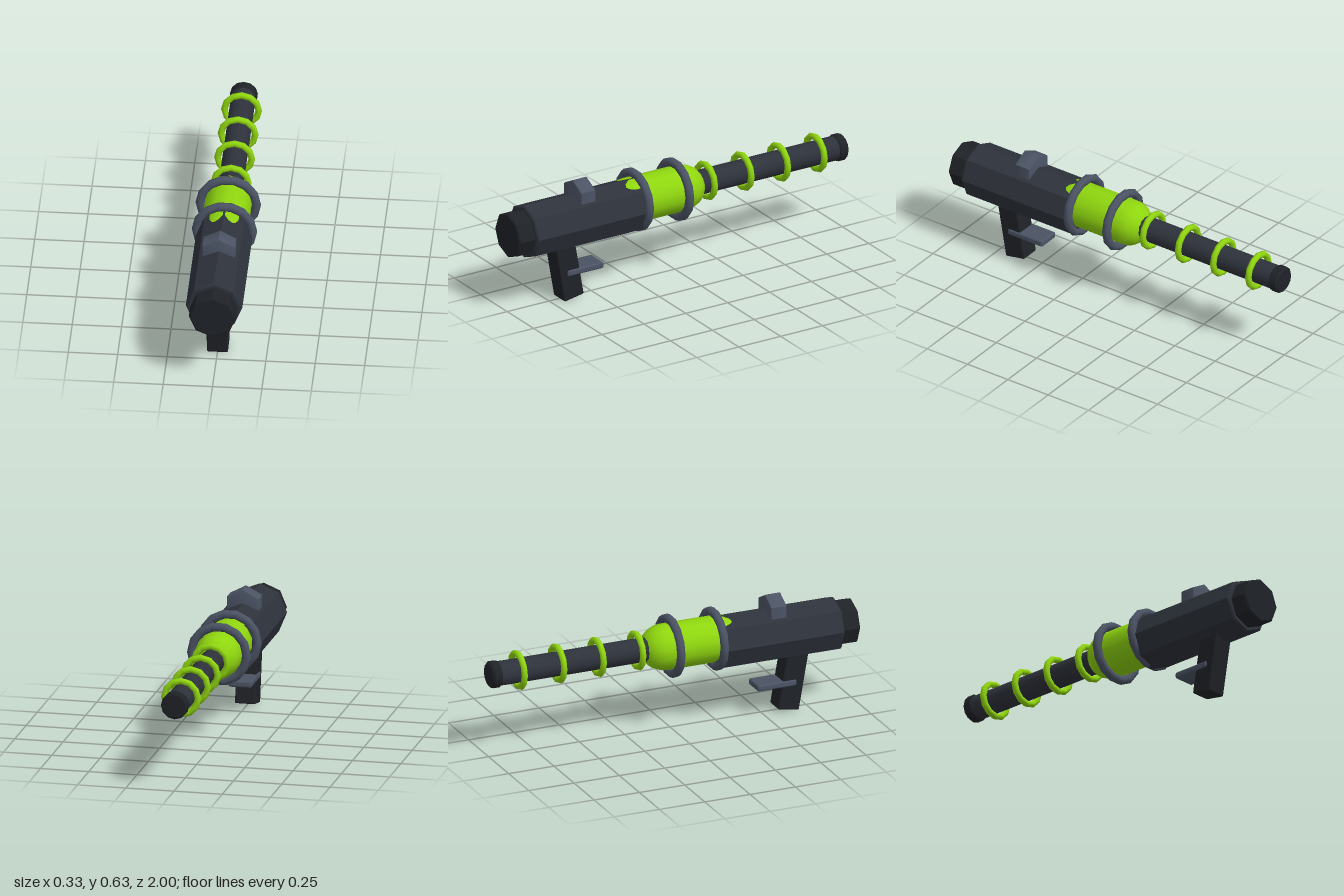
import * as THREE from 'three';
import { toCreasedNormals } from 'three/addons/utils/BufferGeometryUtils.js';
import { RoundedBoxGeometry } from 'three/addons/geometries/RoundedBoxGeometry.js';

const material = (color) => new THREE.MeshStandardMaterial({ color });

export function createModel() {
  const model = new THREE.Group();
  const black = material(0x1f2227);
  const charcoal = material(0x2e323b);
  const slate = material(0x4b5364);
  const green = material(0x8fd60f);

  const add = (name, geometry, mat, x, y, z) => {
    const mesh = new THREE.Mesh(geometry, mat);
    mesh.name = name;
    mesh.position.set(x, y, z);
    model.add(mesh);
    return mesh;
  };

  // Solid turned about the z axis from [radius, z] pairs, back (-z) to front
  const turned = (name, profile, sides, mat, y, crease = 0.6) => {
    const points = profile.map(([r, z]) => new THREE.Vector2(r, z));
    const geometry = new THREE.LatheGeometry(points, sides).rotateX(Math.PI / 2);
    return add(name, toCreasedNormals(geometry, crease), mat, 0, y, 0);
  };

  // Cylinder along z with bevelled rims
  const rod = (name, radius, z0, z1, bevel, sides, mat, y) =>
    turned(name, [
      [0, z0], [radius - bevel, z0], [radius, z0 + bevel],
      [radius, z1 - bevel], [radius - bevel, z1], [0, z1],
    ], sides, mat, y);

  const bodyY = 0.42;
  const axisY = 0.443;

  // Octagonal housing and its end cap
  rod('housing', 0.143, 0.23, 0.905, 0.008, 8, charcoal, bodyY);
  rod('endCap', 0.12, 0.88, 1, 0.008, 8, black, bodyY);

  // Glowing chamber: a capsule sunk into the housing
  const chamber = [];
  const domeSteps = 6;
  for (let i = 0; i <= domeSteps; i++) {
    const a = (i / domeSteps) * Math.PI / 2;
    chamber.push([0.119 * Math.sin(a), -0.04 - 0.119 * Math.cos(a)]);
  }
  for (let i = domeSteps; i >= 0; i--) {
    const a = (i / domeSteps) * Math.PI / 2;
    chamber.push([0.119 * Math.sin(a), 0.28 + 0.119 * Math.cos(a)]);
  }
  turned('chamber', chamber, 14, green, axisY);

  // Clamp rings around the chamber
  for (const z of [0.24, 0]) {
    add('clampRing', new THREE.TorusGeometry(0.143, 0.023, 8, 14), slate, 0, axisY, z);
  }

  // Barrel, muzzle and coil rings
  rod('barrel', 0.063, -0.96, -0.1, 0.004, 12, charcoal, axisY + 0.003);
  rod('muzzle', 0.07, -1, -0.945, 0.01, 12, black, axisY + 0.003);
  for (let i = 0; i < 4; i++) {
    add('coilRing', new THREE.TorusGeometry(0.087, 0.017, 8, 12), green, 0, axisY + 0.005, -0.185 - i * 0.218);
  }

  // Peaked sight on top of the housing
  const peak = new THREE.Shape([
    [-0.075, 0.49], [0.075, 0.49], [0.075, 0.586], [0, 0.626], [-0.075, 0.586],
  ].map(([x, y]) => new THREE.Vector2(x, y)));
  const sight = new THREE.ExtrudeGeometry(peak, {
    depth: 0.072, bevelEnabled: true, bevelSize: 0.008, bevelThickness: 0.008, bevelSegments: 2,
  });
  add('sight', toCreasedNormals(sight, 0.6), slate, 0, 0, 0.531);

  // Slanted grip and trigger plate
  const grip = add('grip', new RoundedBoxGeometry(0.107, 0.35, 0.117, 2, 0.008), black, 0, 0.183, 0.662);
  grip.rotation.x = THREE.MathUtils.degToRad(10);
  add('trigger', new RoundedBoxGeometry(0.12, 0.034, 0.215, 2, 0.01), slate, 0, 0.154, 0.567);

  return model;
}
